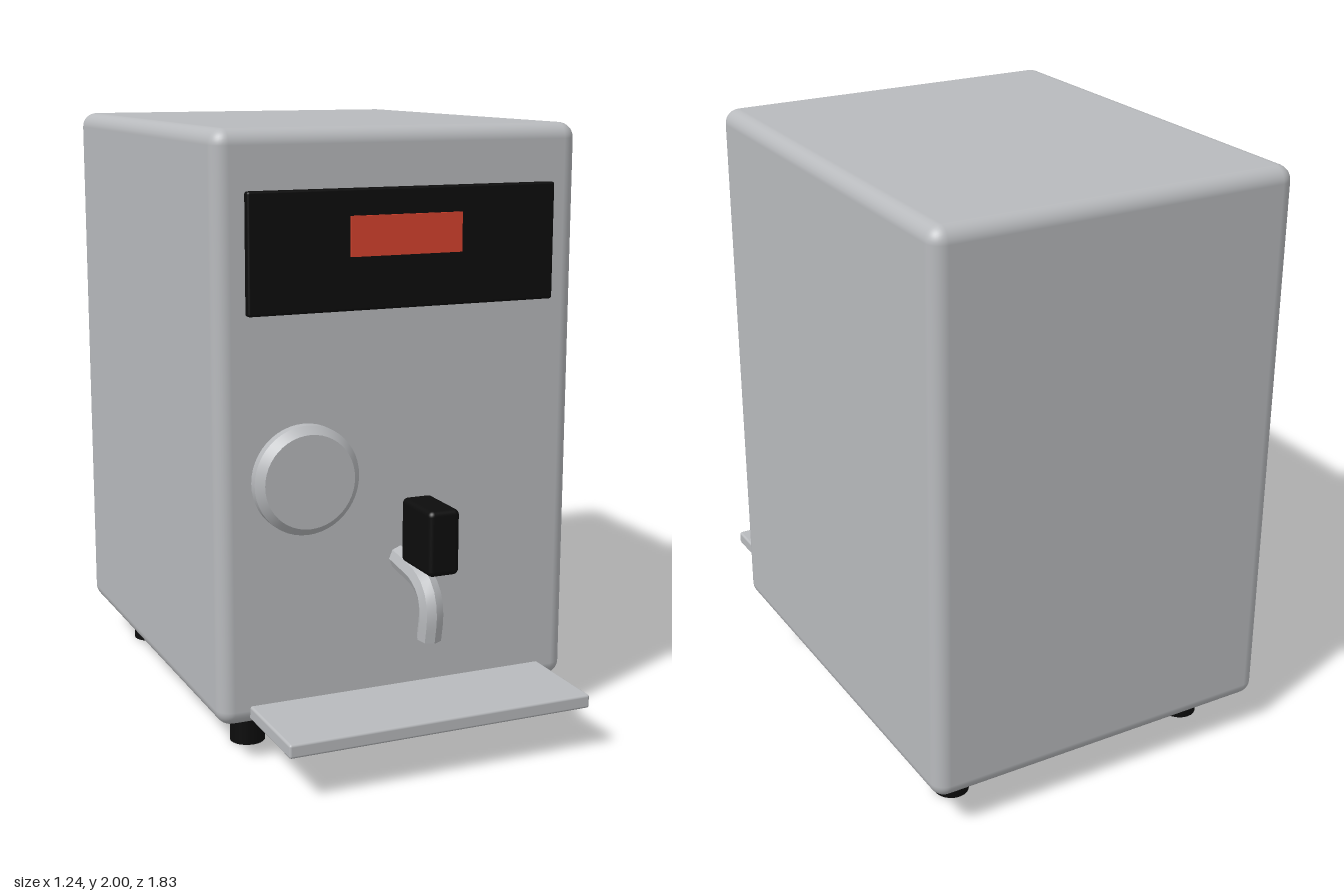
import * as THREE from 'three';
import { toCreasedNormals } from 'three/addons/utils/BufferGeometryUtils.js';
import { RoundedBoxGeometry } from 'three/addons/geometries/RoundedBoxGeometry.js';

const material = (name, color) => {
  const m = new THREE.MeshStandardMaterial({ color });
  m.name = name;
  return m;
};

export function createModel() {
  const group = new THREE.Group();
  group.name = 'waterBoiler';
  const steel = material('steel', 0xb8babd);
  const black = material('black', 0x0c0c0c);
  const red = material('displayRed', 0xd6432e);

  const add = (name, geometry, mat, x = 0, y = 0, z = 0) => {
    const mesh = new THREE.Mesh(geometry, mat);
    mesh.name = name;
    mesh.position.set(x, y, z);
    group.add(mesh);
    return mesh;
  };
  // Rounded box given by its limits on each axis
  const box = (name, mat, [x0, x1], [y0, y1], [z0, z1], r) =>
    add(name, new RoundedBoxGeometry(x1 - x0, y1 - y0, z1 - z0, 4, r), mat,
      (x0 + x1) / 2, (y0 + y1) / 2, (z0 + z1) / 2);

  // Cabinet, control panel, display and drip tray
  box('cabinet', steel, [-0.62, 0.62], [0.13, 2], [-0.915, 0.58], 0.05);
  box('controlPanel', black, [-0.523, 0.523], [1.44, 1.815], [0.57, 0.605], 0.008);
  add('display', new THREE.BoxGeometry(0.38, 0.125, 0.009), red, 0, 1.67, 0.608);
  box('dripTray', steel, [-0.52, 0.52], [0.15, 0.195], [0.56, 0.915], 0.008);

  // Round dial with a chamfered rim
  const profile = [[0, 0], [0.175, 0], [0.175, 0.04], [0.15, 0.065], [0, 0.065]]
    .map(([r, h]) => new THREE.Vector2(r, h));
  const dial = toCreasedNormals(new THREE.LatheGeometry(profile, 48), 0.5);
  dial.rotateX(Math.PI / 2);
  add('dial', dial, steel, -0.335, 0.92, 0.57);

  // Bent eight-sided spout with a closed tip
  const path = new THREE.CatmullRomCurve3([
    [0.55, 0.628], [0.65, 0.615], [0.735, 0.6], [0.788, 0.565], [0.806, 0.51], [0.793, 0.42],
  ].map(([z, y]) => new THREE.Vector3(0, y, z)));
  add('spout', toCreasedNormals(new THREE.TubeGeometry(path, 14, 0.04, 8), 0.5), steel);
  const tip = path.getPoint(1);
  const cap = add('spoutTip', new THREE.CircleGeometry(0.04, 8), steel, tip.x, tip.y, tip.z);
  cap.lookAt(tip.clone().add(path.getTangent(1)));

  // Tap handle
  box('tapHandle', black, [-0.052, 0.052], [0.65, 0.858], [0.69, 0.895], 0.018);

  // Feet
  for (const x of [-0.457, 0.457])
    for (const z of [0.378, -0.708])
      add('foot', new THREE.CylinderGeometry(0.058, 0.058, 0.14, 24), black, x, 0.07, z);

  return group;
}
